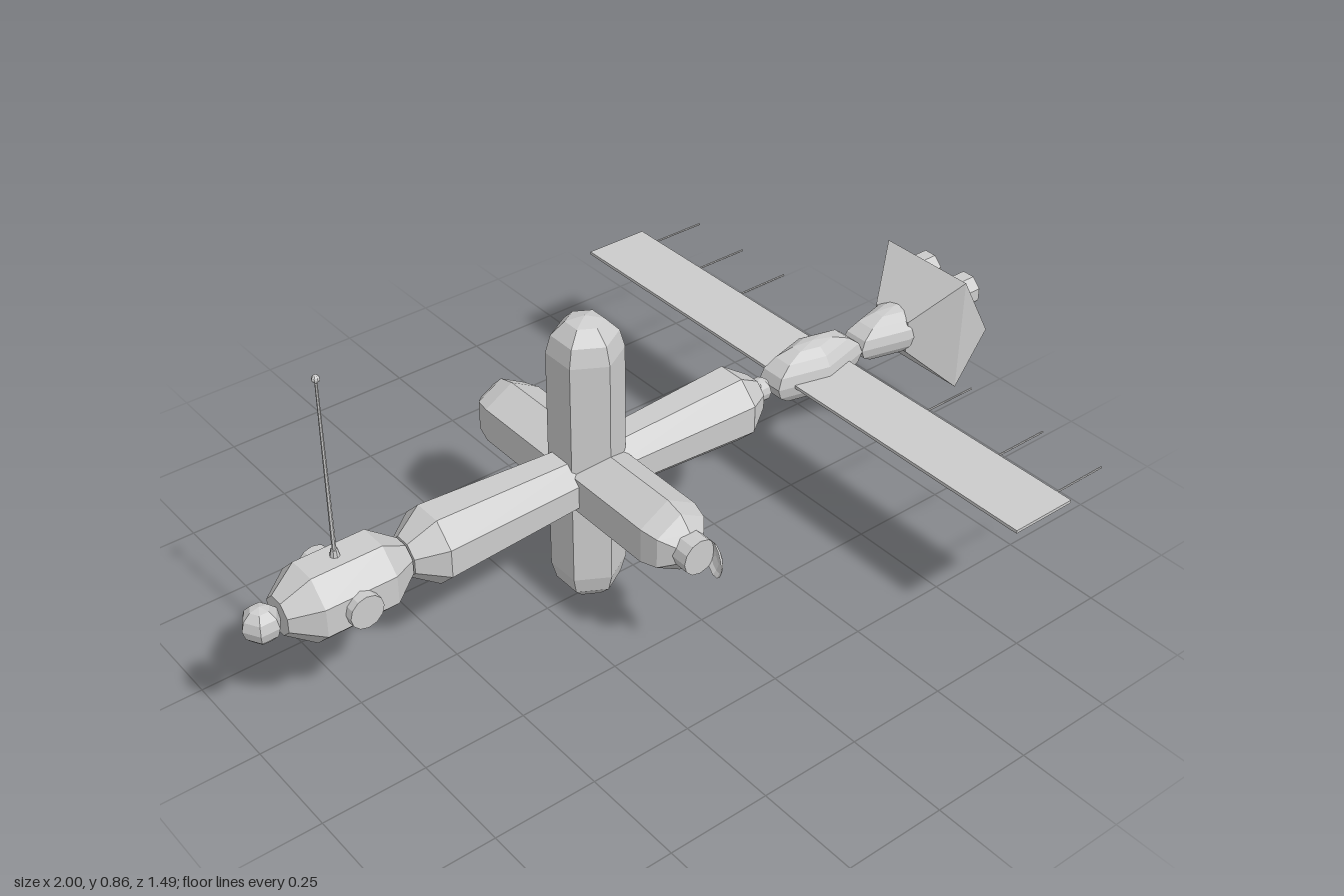
import * as THREE from 'three';
import { ConvexGeometry } from 'three/addons/geometries/ConvexGeometry.js';

const AXIS = 0.342; // height of the station's long axis
const HUB = -0.13; // x of the crossing modules

export function createModel() {
  const group = new THREE.Group();
  const material = new THREE.MeshStandardMaterial({
    color: 0xcccccc, flatShading: true, side: THREE.DoubleSide,
  });

  const add = (name, geometry, x = 0, y = AXIS, z = 0) => {
    const mesh = new THREE.Mesh(geometry, material);
    mesh.name = name;
    mesh.position.set(x, y, z);
    group.add(mesh);
    return mesh;
  };

  // Turned solid around y from [height, radius] pairs
  const turned = (profile, sides, start = 0) => new THREE.LatheGeometry(
    profile.map(([h, r]) => new THREE.Vector2(r, h)), sides, start);

  // Hexagonal capsule along y
  const capsule = (radius, length) => {
    const profile = [];
    const half = length / 2 - radius;
    for (const side of [-1, 1]) {
      for (let i = 0; i <= 3; i++) {
        const a = (side < 0 ? 3 - i : i) * Math.PI / 6;
        profile.push([side * (half + radius * Math.sin(a)), radius * Math.cos(a)]);
      }
    }
    return turned(profile, 6);
  };

  // Low-poly ellipsoid with a corner facing +z
  const pod = (rx, ry, rz) => new THREE.SphereGeometry(1, 6, 8)
    .rotateY(Math.PI / 2).scale(rx, ry, rz);

  // Crossing modules
  add('verticalModule', capsule(0.086, 0.745), HUB, 0.377);
  add('crossModule', capsule(0.086, 0.735).rotateX(Math.PI / 2), HUB);

  // Long module, slightly waisted at the hub
  const flat = Math.PI / 8;
  add('mainModule', turned([
    [-0.485, 0], [-0.485, 0.047], [-0.42, 0.092], [0, 0.07],
    [0.42, 0.092], [0.485, 0.047], [0.485, 0],
  ], 8, flat).rotateZ(-Math.PI / 2), HUB);

  // Forward module with ports and nose
  add('forwardModule', turned([
    [-0.15, 0], [-0.15, 0.045], [-0.085, 0.092],
    [0.085, 0.092], [0.15, 0.045], [0.15, 0],
  ], 8, flat).rotateZ(-Math.PI / 2), -0.768);
  add('nose', new THREE.SphereGeometry(0.044, 6, 6), -0.956);
  for (const side of [-1, 1]) {
    add('sidePort', new THREE.CylinderGeometry(0.04, 0.04, 0.03, 12)
      .rotateX(Math.PI / 2), -0.77, AXIS, side * 0.09);
  }

  // Antenna
  add('antennaBase', new THREE.CylinderGeometry(0.008, 0.012, 0.02, 8), -0.775, 0.433);
  add('antennaMast', new THREE.CylinderGeometry(0.003, 0.005, 0.44, 6), -0.775, 0.64);
  add('antennaTip', new THREE.SphereGeometry(0.009, 8, 6), -0.775, 0.86);

  // Docking collar with its open hatch
  add('dockingCollar', new THREE.CylinderGeometry(0.043, 0.043, 0.05, 12)
    .rotateX(Math.PI / 2), HUB, AXIS, 0.365);
  const hatch = add('hatch', turned(
    [[0, 0.043], [0.008, 0.034], [0.014, 0.018], [0.016, 0]], 12,
  ).rotateZ(-Math.PI / 2), -0.112, AXIS, 0.41);
  hatch.rotation.y = -0.3;

  // Aft joint and pods
  add('joint', new THREE.SphereGeometry(0.031, 6, 6), 0.378);
  add('panelPod', pod(0.156, 0.072, 0.068));
  group.getObjectByName('panelPod').position.x = 0.545;
  add('aftPod', pod(0.156, 0.062, 0.068), 0.815);

  // Solar panel and trailing rods
  add('solarPanel', new THREE.BoxGeometry(0.172, 0.008, 1.49), 0.538);
  for (const z of [-0.685, -0.51, -0.35, 0.307, 0.53, 0.703]) {
    add('panelRod', new THREE.CylinderGeometry(0.0025, 0.0025, 0.16, 6)
      .rotateZ(Math.PI / 2), 0.692, AXIS, z);
  }

  // Engine block: flared wedge with a ridge across the back
  const corners = [];
  for (const z of [-1, 1]) {
    corners.push(new THREE.Vector3(0.988, 0, 0.15 * z));
    for (const y of [-1, 1]) {
      corners.push(new THREE.Vector3(0.81, 0.042 * y, 0.055 * z));
      corners.push(new THREE.Vector3(0.917, 0.15 * y, 0.132 * z));
    }
  }
  add('engineBlock', new ConvexGeometry(corners));
  for (const y of [-1, 1]) {
    for (const z of [-1, 1]) {
      add('engineNozzle', new THREE.CylinderGeometry(0.043, 0.043, 0.08, 8)
        .rotateY(flat).rotateZ(Math.PI / 2), 0.96, AXIS + 0.074 * y, 0.065 * z);
    }
  }

  return group;
}
